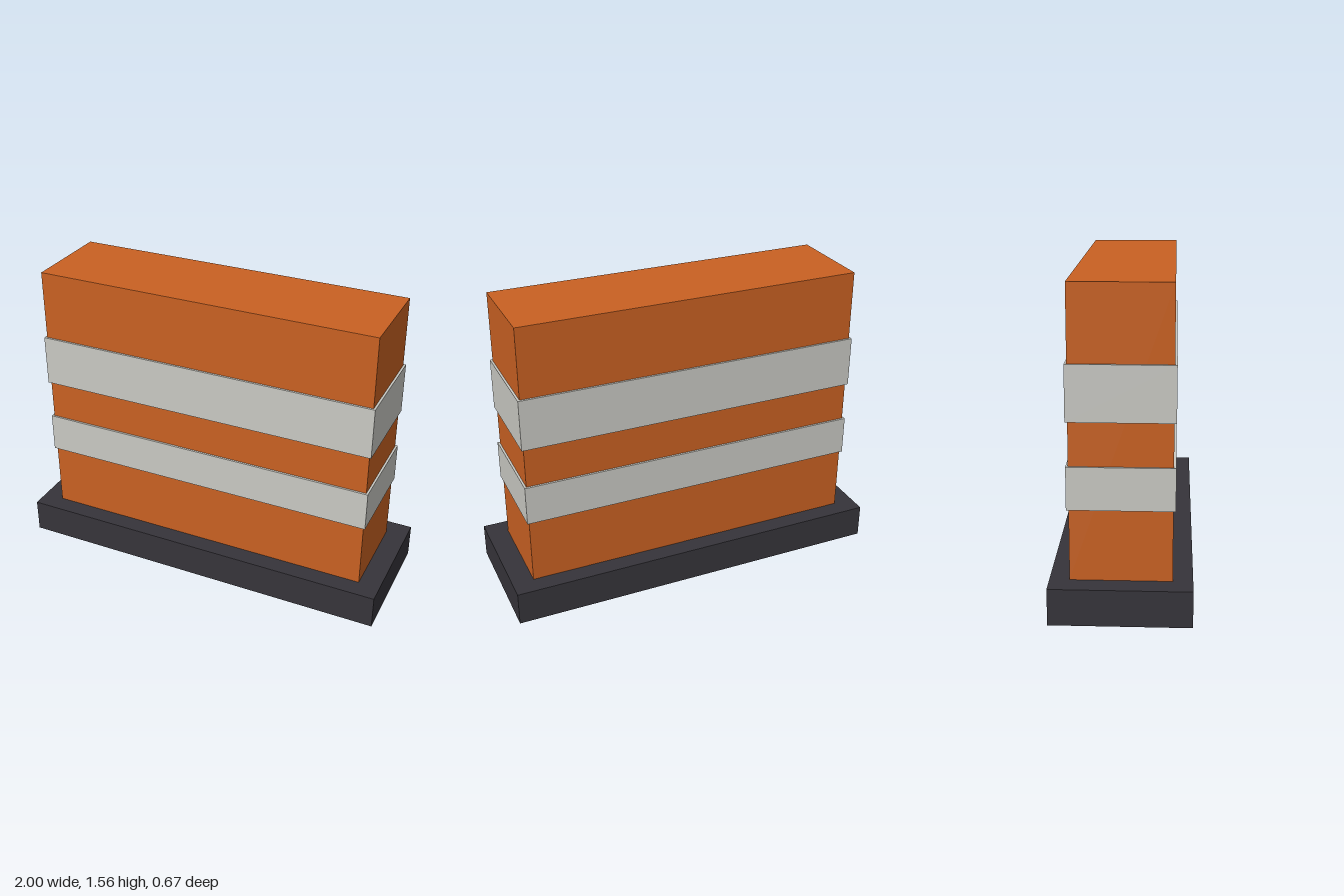
import * as THREE from 'three';

function material(name, color) {
  const m = new THREE.MeshStandardMaterial({ color });
  m.name = name;
  return m;
}

export function createModel() {
  const group = new THREE.Group();
  group.name = 'barrier';

  const orange = material('orange', 0xc96122);
  const paleGrey = material('pale grey', 0xc9c9c3);
  const charcoal = material('charcoal', 0x36343a);

  // Box centred on the vertical axis, spanning bottom to top
  function block(name, width, depth, bottom, top, mat) {
    const mesh = new THREE.Mesh(new THREE.BoxGeometry(width, top - bottom, depth), mat);
    mesh.name = name;
    mesh.position.y = (bottom + top) / 2;
    group.add(mesh);
  }

  // Heavy foot and upright panel
  block('base', 2, 0.667, 0, 0.178, charcoal);
  block('body', 1.778, 0.478, 0.178, 1.564, orange);

  // Bands wrapped around the panel, slightly proud of it
  block('lowerBand', 1.8, 0.5, 0.523, 0.729, paleGrey);
  block('upperBand', 1.8, 0.5, 0.937, 1.202, paleGrey);

  return group;
}
